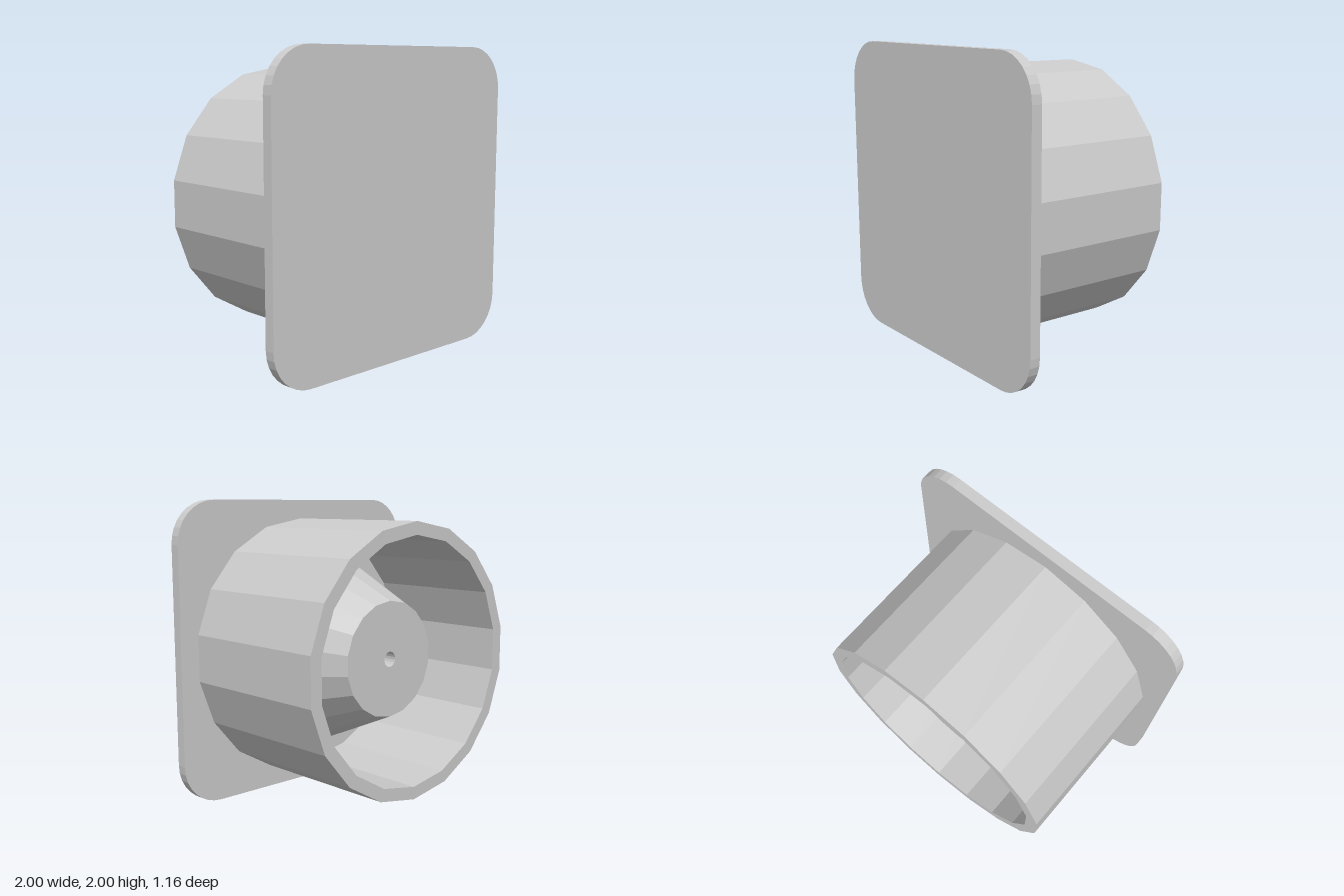
import * as THREE from 'three';

const material = new THREE.MeshStandardMaterial({ color: 0xcccccc, flatShading: true });

// Square outline with rounded corners, centred on the origin
function roundedSquare(half, radius) {
  const shape = new THREE.Shape();
  const inner = half - radius;
  const corners = [[1, 1], [-1, 1], [-1, -1], [1, -1]];
  corners.forEach(([sx, sy], i) => {
    const start = i * Math.PI / 2;
    shape.absarc(sx * inner, sy * inner, radius, start, start + Math.PI / 2, false);
  });
  shape.closePath();
  return shape;
}

export function createModel() {
  const group = new THREE.Group();

  // Flat front plate
  const plateGeometry = new THREE.ExtrudeGeometry(roundedSquare(1, 0.28), {
    depth: 0.07, bevelEnabled: false, curveSegments: 4,
  });
  const plate = new THREE.Mesh(plateGeometry, material);
  plate.name = 'frontPlate';
  plate.position.set(0, 1, 0.512);
  group.add(plate);

  // Hollow drum with a raised floor and a drilled conical hub: [radius, z]
  const profile = [
    [0, 0.51], [0.05, 0.51], [0.05, -0.36],  // drilled hole
    [0.38, -0.36], [0.69, 0.37],             // hub face and cone
    [0.803, 0.37], [0.803, -0.582],          // floor and inner wall
    [0.887, -0.582], [0.887, 0.512],         // rim and outer wall
  ].map(([r, z]) => new THREE.Vector2(r, z));
  const drumGeometry = new THREE.LatheGeometry(profile, 18);
  drumGeometry.rotateX(Math.PI / 2);
  const drum = new THREE.Mesh(drumGeometry, material);
  drum.name = 'drumWithHub';
  drum.position.set(-0.008, 0.985, 0);
  group.add(drum);

  return group;
}
